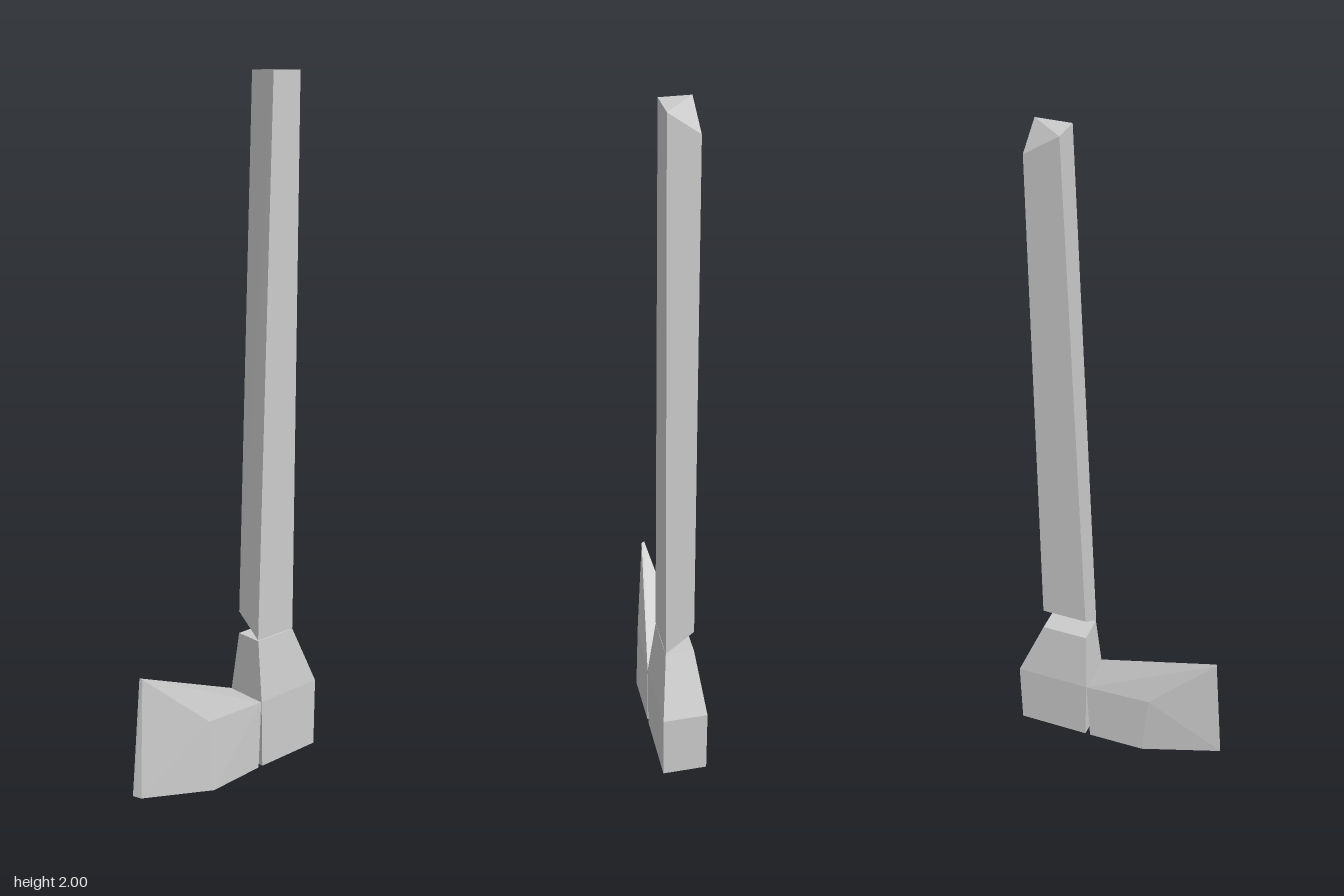
import * as THREE from 'three';
import { ConvexGeometry } from 'three/addons/geometries/ConvexGeometry.js';

const material = new THREE.MeshStandardMaterial({ color: 0xcccccc, flatShading: true });

// Faceted solid spanned by a few corner points
function facetedPart(name, corners) {
  const geometry = new ConvexGeometry(corners.map((c) => new THREE.Vector3(...c)));
  const mesh = new THREE.Mesh(geometry, material);
  mesh.name = name;
  return mesh;
}

// Four corners of a level rectangle
function ring(y, x0, x1, z0, z1) {
  return [[x0, y, z0], [x1, y, z0], [x1, y, z1], [x0, y, z1]];
}

export function createModel() {
  const group = new THREE.Group();
  group.name = 'axe';

  // Tapered shaft with one chipped top corner and a slanted lower end
  group.add(facetedPart('shaft', [
    [0.146, 2, 0.041], [0.245, 2, 0.041], [0.146, 2, -0.041], [0.242, 1.94, -0.041],
    [0.106, 0.405, 0.041], [0.245, 0.405, 0.041], [0.107, 0.47, -0.041], [0.243, 0.47, -0.041],
  ]));

  // Socket block: straight base, sloped shoulders
  group.add(facetedPart('socket', [
    ...ring(0.012, 0.105, 0.32, -0.065, 0.064),
    ...ring(0.22, 0.1, 0.322, -0.065, 0.064),
    ...ring(0.402, 0.107, 0.245, -0.041, 0.041),
  ]));

  // Blade: wide root, bulging cheeks, thin cutting edge
  group.add(facetedPart('blade', [
    [0.098, 0.22, -0.065], [0.098, 0.22, 0.064], [0.09, 0.012, 0.064], [0.09, 0.012, -0.065],
    [-0.1, 0.22, -0.057], [-0.095, 0.22, 0.055], [-0.085, 0.003, 0.063], [-0.08, 0.003, -0.055],
    [-0.295, 0.395, -0.008], [-0.292, 0.393, 0.001], [-0.31, 0.04, 0.01], [-0.322, 0.043, -0.012],
  ]));

  return group;
}
